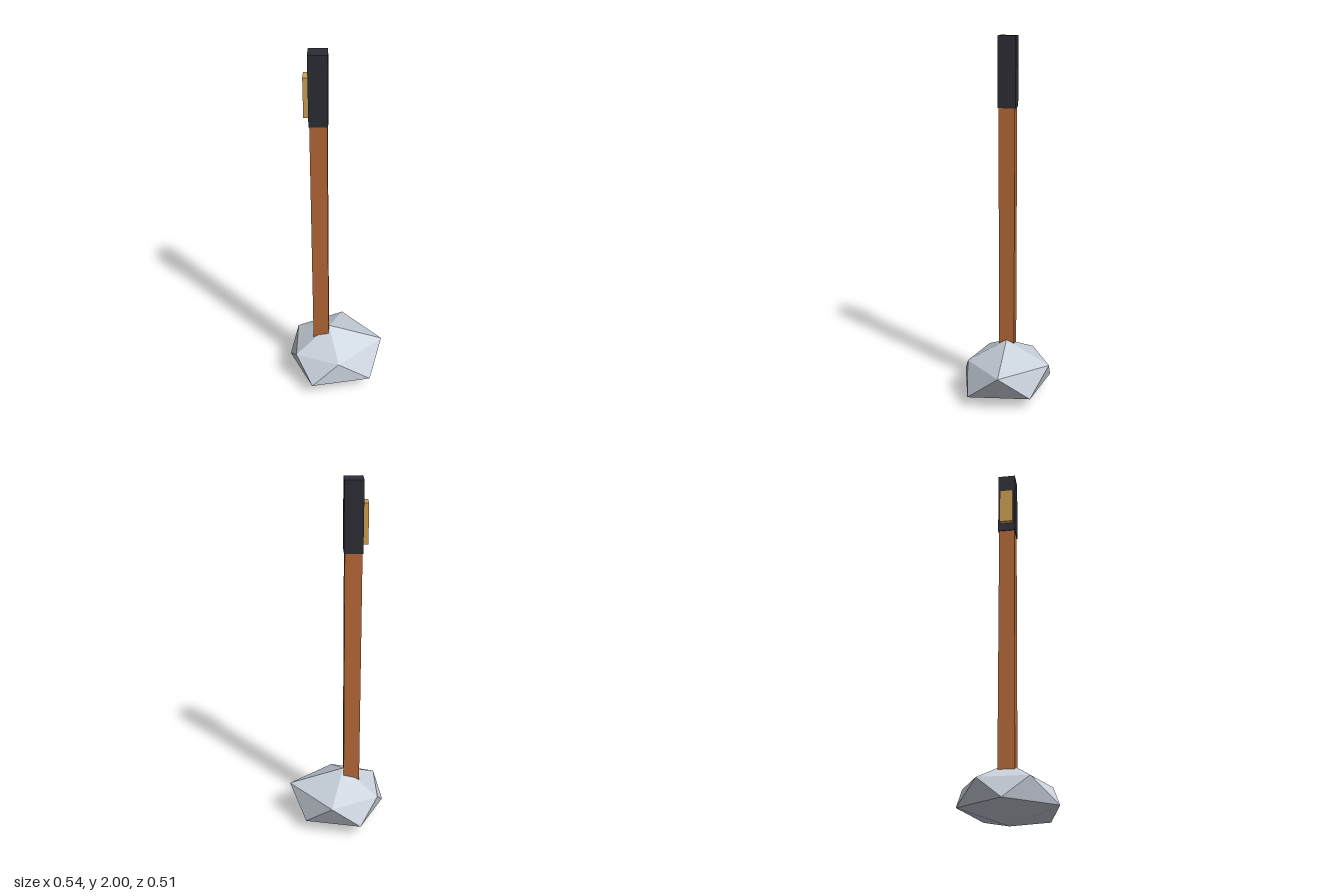
import * as THREE from 'three';

const mat = (name, color, extra = {}) =>
  Object.assign(new THREE.MeshStandardMaterial({ color, ...extra }), { name });

// Faceted stone: top point, upper ring of five, lower ring of five, bottom point
function stoneGeometry() {
  const top = [-0.04, 0.315, -0.005];
  const bottom = [-0.05, 0, 0];
  const upper = [[0.27, 0.22, -0.005], [0.035, 0.21, -0.257], [-0.23, 0.2, -0.135],
    [-0.228, 0.2, 0.126], [0.02, 0.2, 0.208]];
  const lower = [[0.18, 0.07, -0.17], [-0.127, 0.08, -0.25], [-0.272, 0.09, -0.005],
    [-0.132, 0.075, 0.254], [0.202, 0.065, 0.176]];
  const points = [];
  for (let i = 0; i < 5; i++) {
    const j = (i + 1) % 5;
    points.push(top, upper[i], upper[j]);
    points.push(lower[i], upper[j], upper[i]);
    points.push(lower[i], lower[j], upper[j]);
    points.push(bottom, lower[j], lower[i]);
  }
  const geo = new THREE.BufferGeometry();
  geo.setAttribute('position', new THREE.Float32BufferAttribute(points.flat(), 3));
  geo.computeVertexNormals();
  return geo;
}

export function createModel() {
  const group = new THREE.Group();
  group.name = 'stoneHammer';

  const stone = mat('stone grey', 0xc8d0da, { flatShading: true });
  const wood = mat('wood brown', 0xb86a38);
  const dark = mat('dark grip', 0x2d2d36);
  const gold = mat('gold', 0xd0a254);

  const add = (name, geometry, material) => {
    const mesh = new THREE.Mesh(geometry, material);
    mesh.name = name;
    group.add(mesh);
  };
  // Box given by its lower and upper corners
  const box = (name, a, b, material) => {
    const geo = new THREE.BoxGeometry(b[0] - a[0], b[1] - a[1], b[2] - a[2]);
    geo.translate((a[0] + b[0]) / 2, (a[1] + b[1]) / 2, (a[2] + b[2]) / 2);
    add(name, geo, material);
  };

  add('stoneHead', stoneGeometry(), stone);
  // Square shaft set into the stone, with a wrapped grip and a side plate
  box('shaft', [-0.13, 0.15, -0.048], [-0.041, 1.64, 0.038], wood);
  box('grip', [-0.134, 1.63, -0.053], [-0.037, 2, 0.042], dark);
  box('gripPlate', [-0.159, 1.675, -0.041], [-0.13, 1.885, 0.032], gold);

  return group;
}
